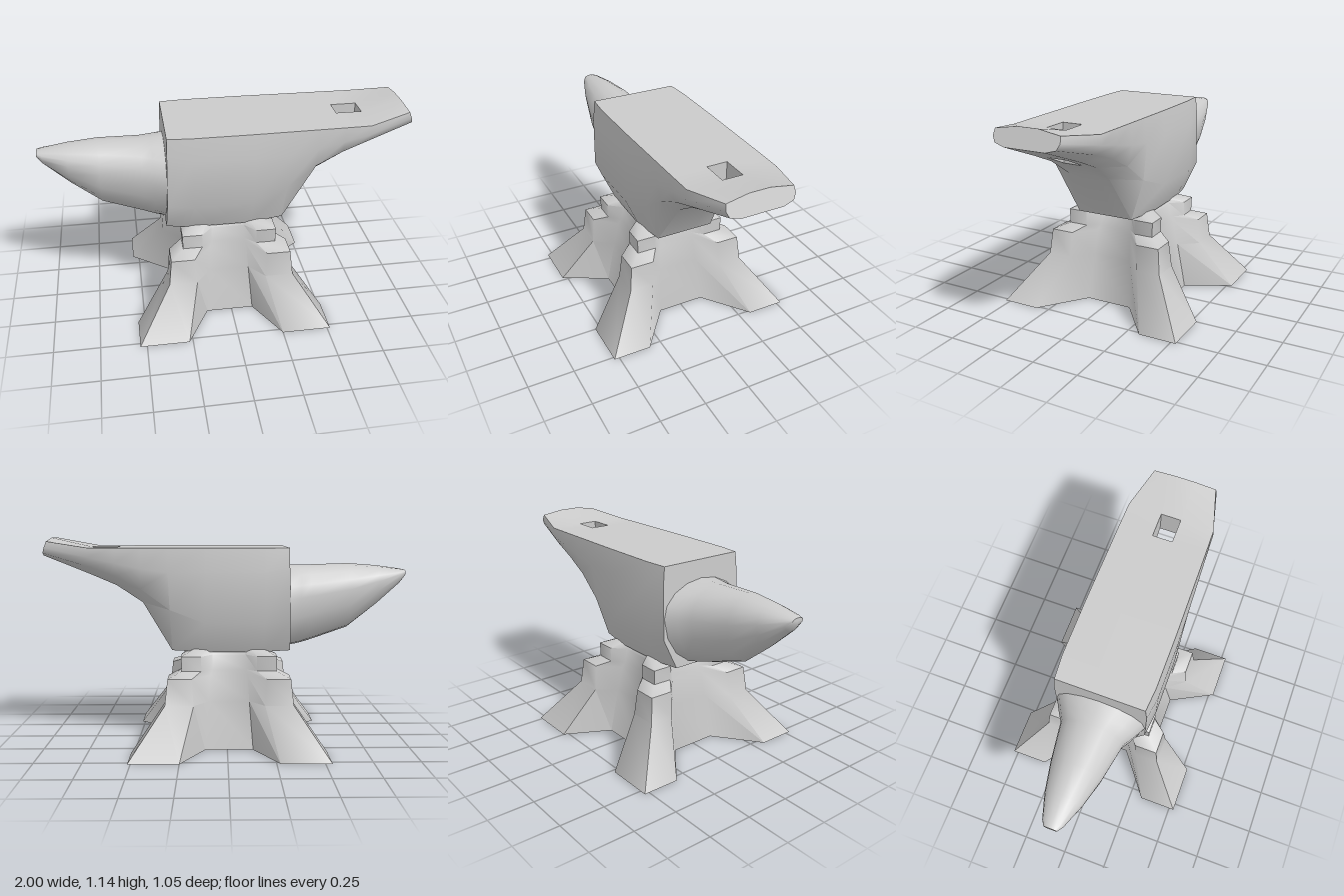
import * as THREE from 'three';
import { toCreasedNormals } from 'three/addons/utils/BufferGeometryUtils.js';

const material = new THREE.MeshStandardMaterial({ color: 0xcccccc });

// Skins a list of equal-length rings; skip(i, j) leaves a quad out.
function loft(rings, { caps = true, skip = () => false, crease = 0.9 } = {}) {
  const pos = [];
  const tri = (...pts) => pts.forEach((p) => pos.push(...p));
  const n = rings[0].length;
  for (let i = 0; i < rings.length - 1; i++) {
    for (let j = 0; j < n; j++) {
      if (skip(i, j)) continue;
      const k = (j + 1) % n;
      const [a, b, c, d] = [rings[i][j], rings[i][k], rings[i + 1][j], rings[i + 1][k]];
      tri(a, b, c);
      tri(b, d, c);
    }
  }
  if (caps) {
    const centre = (r) => [0, 1, 2].map((q) => r.reduce((s, p) => s + p[q], 0) / n);
    const first = rings[0], last = rings[rings.length - 1];
    const c0 = centre(first), c1 = centre(last);
    for (let j = 0; j < n; j++) {
      const k = (j + 1) % n;
      tri(c0, first[k], first[j]);
      tri(c1, last[j], last[k]);
    }
  }
  const geometry = new THREE.BufferGeometry();
  geometry.setAttribute('position', new THREE.Float32BufferAttribute(pos, 3));
  return toCreasedNormals(geometry, crease);
}

function part(name, geometry) {
  const mesh = new THREE.Mesh(geometry, material);
  mesh.name = name;
  return mesh;
}

// Cross-section of the body: half profile [y, z] from top to bottom, mirrored in z.
const HOLE = 0.055;
function bodyRing([xTop, xBottom, yTop, edge, mid, low, bottom]) {
  const half = [[yTop, HOLE], edge, mid, low, bottom, [bottom[0], HOLE]];
  const at = ([y, z]) => [xBottom + (xTop - xBottom) * (y - bottom[0]) / (yTop - bottom[0]), y, z];
  return [...half.map(at), ...half.map(([y, z]) => at([y, -z])).reverse()];
}

// Star-shaped section of the base: t = foot reach, a = foot side, p/q = valley corners.
function baseRing([y, t, a, b, p, q]) {
  const quarter = [[q, p], [t, a], [t, t], [b, t], [p, q]];
  const back = [...quarter].reverse();
  const place = (list, sz, sx) => list.map(([z, x]) => [sx * x - 0.01, y, sz * z]);
  return [...place(quarter, 1, 1), ...place(back, -1, 1), ...place(quarter, -1, -1), ...place(back, 1, -1)];
}

export function createModel() {
  const group = new THREE.Group();
  group.name = 'anvil';

  // Body and heel: x at top, x at bottom, top y, then [y, z] profile corners
  const body = [
    [-0.33, -0.345, 1.09, [1.09, 0.24], [0.98, 0.25], [0.70, 0.25], [0.53, 0.17]],
    [-0.20, -0.20, 1.09, [1.09, 0.25], [0.96, 0.267], [0.69, 0.265], [0.525, 0.19]],
    [0.12, 0.12, 1.09, [1.09, 0.25], [0.96, 0.265], [0.69, 0.263], [0.525, 0.19]],
    [0.32, 0.30, 1.09, [1.09, 0.247], [0.96, 0.257], [0.76, 0.235], [0.53, 0.16]],
    [0.46, 0.46, 1.09, [1.09, 0.245], [0.98, 0.252], [0.87, 0.225], [0.79, 0.12]],
    [0.60, 0.60, 1.09, [1.09, 0.243], [1.01, 0.247], [0.94, 0.22], [0.885, 0.13]],
    [0.74, 0.74, 1.09, [1.09, 0.24], [1.04, 0.243], [0.99, 0.21], [0.945, 0.13]],
    [0.96, 0.995, 1.14, [1.122, 0.175], [1.09, 0.18], [1.06, 0.165], [1.045, 0.11]],
  ].map(bodyRing);
  const holeAt = 5;
  group.add(part('body', loft(body, { skip: (i, j) => i === holeAt && (j === 5 || j === 11) })));

  // Walls of the square tool hole through the heel
  const [r0, r1] = [body[holeAt], body[holeAt + 1]];
  const walls = [[r0[0], r1[0], r1[11], r0[11]], [r0[5], r1[5], r1[6], r0[6]]];
  group.add(part('toolHole', loft(walls, { caps: false })));

  // Horn: x, top y, bottom y, half width
  const horn = [
    [-1.0, 0.96, 0.925, 0.035],
    [-0.97, 0.967, 0.885, 0.055],
    [-0.84, 0.985, 0.765, 0.10],
    [-0.68, 0.997, 0.637, 0.138],
    [-0.46, 0.99, 0.56, 0.175],
    [-0.40, 0.99, 0.543, 0.212],
    [-0.33, 0.99, 0.53, 0.25],
  ].map(([x, top, bottom, w]) => {
    const yWide = bottom + (top - bottom) * 0.62;
    return Array.from({ length: 16 }, (_, j) => {
      const u = (j / 16) * Math.PI * 2, c = Math.cos(u);
      return [x, yWide + c * (c > 0 ? top - yWide : yWide - bottom), w * Math.sin(u)];
    });
  });
  group.add(part('horn', loft(horn)));

  // Four-footed base: y, foot reach, foot sides, valley corners
  const base = [
    [0, 0.527, 0.26, 0.32, 0.13, 0.28],
    [0.26, 0.343, 0.19, 0.21, 0.11, 0.24],
    [0.40, 0.328, 0.20, 0.20, 0.10, 0.215],
    [0.43, 0.256, 0.15, 0.15, 0.09, 0.20],
    [0.51, 0.258, 0.15, 0.15, 0.09, 0.19],
    [0.54, 0.19, 0.12, 0.12, 0.08, 0.16],
  ].map(baseRing);
  group.add(part('base', loft(base, { crease: 1.0 })));

  return group;
}
